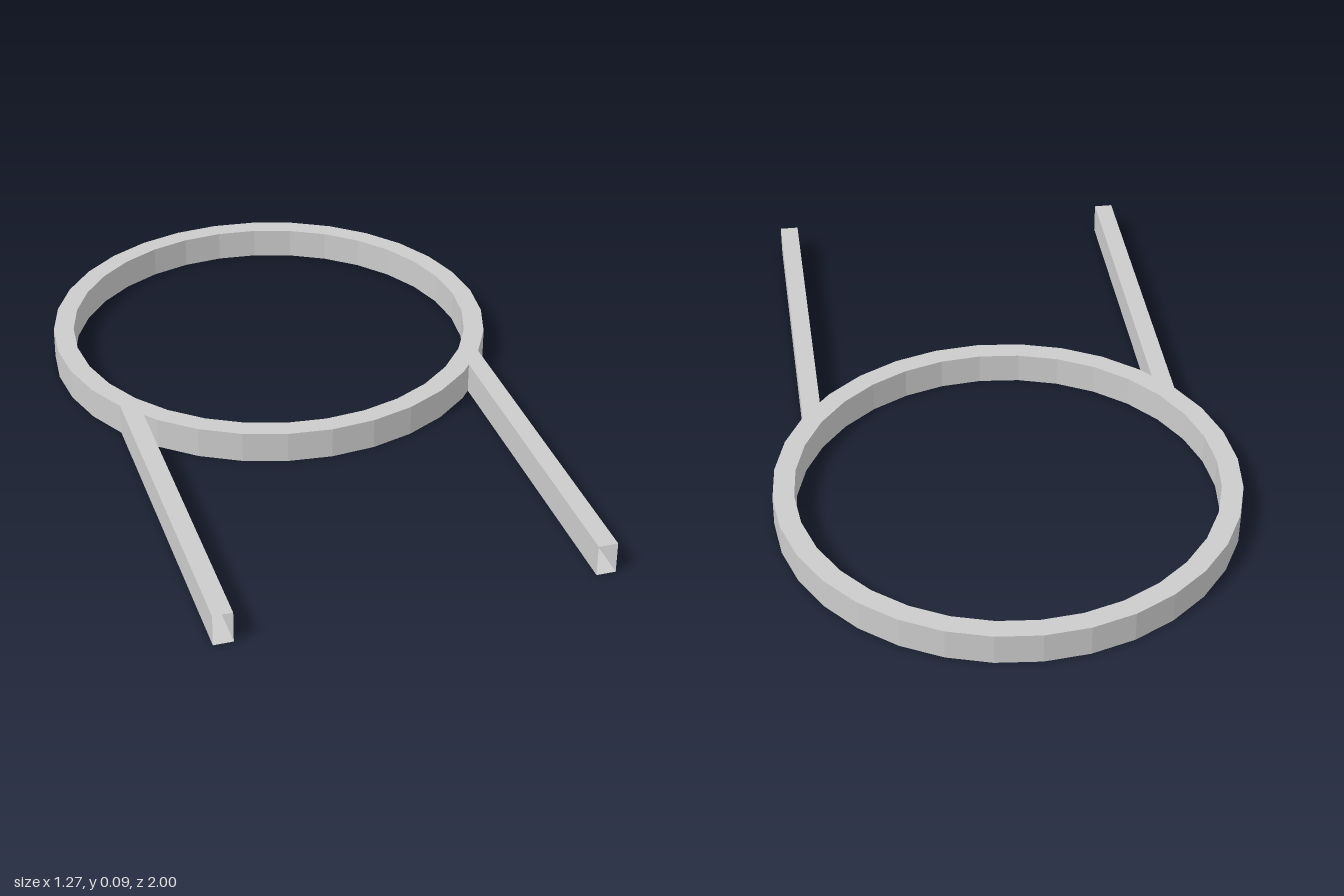
import * as THREE from 'three';

const HEIGHT = 0.088, OUTER = 0.6375, INNER = 0.579, SIDES = 32;
const RING_Z = -1 + OUTER;
const FRONT_Z = 1, RAIL_OUT = 0.532, RAIL_IN = 0.479;

const material = new THREE.MeshStandardMaterial({
  color: 0xcccccc, flatShading: true, side: THREE.DoubleSide,
});

// z of the ring's faceted outer wall (front half) at a given distance from the centre line
function ringWallZ(x) {
  const step = (2 * Math.PI) / SIDES;
  const mid = (Math.floor(Math.asin(x / OUTER) / step) + 0.5) * step;
  const apothem = OUTER * Math.cos(step / 2);
  return RING_Z + (apothem - x * Math.sin(mid)) / Math.cos(mid);
}

// Flat band with a rectangular section
function makeRing() {
  const profile = [
    [OUTER, 0], [OUTER, HEIGHT], [INNER, HEIGHT], [INNER, 0], [OUTER, 0],
  ].map(([r, y]) => new THREE.Vector2(r, y));
  const ring = new THREE.Mesh(new THREE.LatheGeometry(profile, SIDES), material);
  ring.name = 'ring';
  ring.position.z = RING_Z;
  return ring;
}

// Hollow rail, open at its ends, its back end cut to fit the ring wall
function makeRail(side) {
  const geometry = new THREE.BoxGeometry(RAIL_OUT - RAIL_IN, HEIGHT, 1);
  geometry.translate(side * (RAIL_OUT + RAIL_IN) / 2, HEIGHT / 2, 0);
  const pos = geometry.attributes.position;
  for (let i = 0; i < pos.count; i++) {
    pos.setZ(i, pos.getZ(i) > 0 ? FRONT_Z : ringWallZ(Math.abs(pos.getX(i))));
  }
  // keep the four long walls, drop the two end caps
  geometry.setIndex(Array.from(geometry.index.array.slice(0, 24)));
  geometry.clearGroups();
  const rail = new THREE.Mesh(geometry, material);
  rail.name = side > 0 ? 'leftRail' : 'rightRail';
  return rail;
}

export function createModel() {
  const model = new THREE.Group();
  model.name = 'ringWithRails';
  model.add(makeRing(), makeRail(1), makeRail(-1));
  return model;
}
